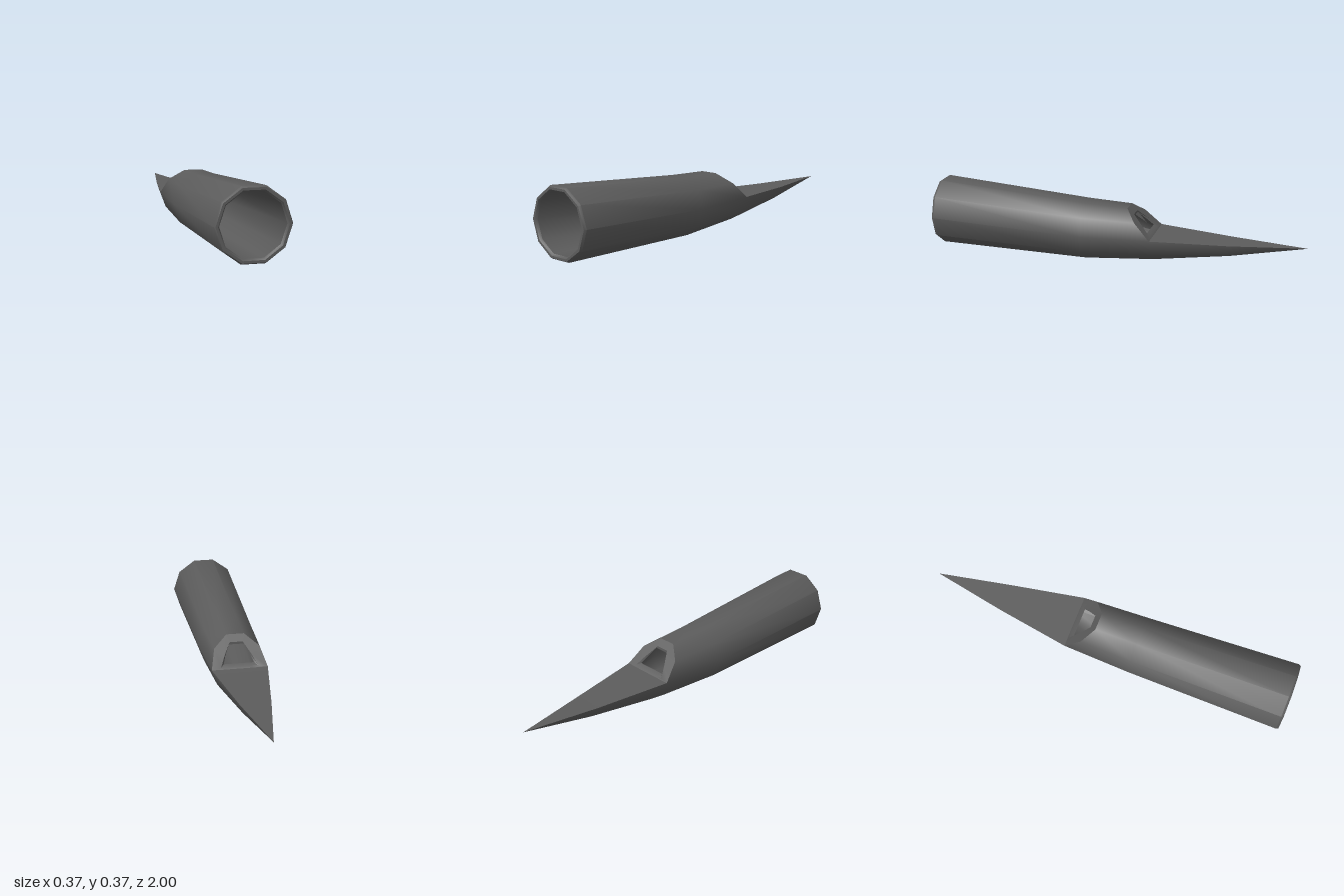
import * as THREE from 'three';
import { toCreasedNormals } from 'three/addons/utils/BufferGeometryUtils.js';

const N = 10;
const steps = Array.from({ length: N }, (_, k) => k);
const angle = (k) => (k / N) * Math.PI * 2;
const half = Math.sin(angle(2)); // half height of a unit ten-sided ring

// Full ten-sided ring of radius r, centred at height cy
const ring = (z, r, cy) => steps.map((k) =>
  new THREE.Vector3(r * Math.cos(angle(k)), cy + r * Math.sin(angle(k)), z));

// Spike section: flat on top, half a ring below
const halfRing = (z, w, top, bottom) => steps.map((k) =>
  new THREE.Vector3(w * Math.cos(angle(k)),
    k <= 5 ? top : top + Math.sin(angle(k)) * (top - bottom) / half, z));

// Three [x, y, z] corners on +x, mirrored into the six upper points of a loop
const arch = (p) => [...p, ...p.slice().reverse().map(([x, y, z]) => [-x, y, z])]
  .map((a) => new THREE.Vector3(...a));

// Height to depth on the slanted face
const slope = (y) => -0.06 - (0.3 - y) * 1.03;

// Loop on the slanted face, closed by a straight lower edge
function gate(points, shift = 0) {
  const upper = arch(points.map(([x, y]) => [x, y, slope(y) + shift]));
  const lower = [1, 2, 3, 4].map((j) => upper[5].clone().lerp(upper[0], j / 5));
  return [...upper, ...lower];
}

// Triangles between successive loops, leaving out empty ones
function loft(loops) {
  const out = [];
  const add = (a, b, c) => {
    const area = b.clone().sub(a).cross(c.clone().sub(a)).length();
    if (area > 1e-8) out.push(a, b, c);
  };
  for (let i = 0; i < loops.length - 1; i++) {
    for (const k of steps) {
      const n = (k + 1) % N;
      add(loops[i][k], loops[i][n], loops[i + 1][n]);
      add(loops[i][k], loops[i + 1][n], loops[i + 1][k]);
    }
  }
  return out;
}

function part(name, points, material) {
  const geometry = toCreasedNormals(new THREE.BufferGeometry().setFromPoints(points), 0.7);
  const mesh = new THREE.Mesh(geometry, material);
  mesh.name = name;
  return mesh;
}

export function createModel() {
  const group = new THREE.Group();
  group.name = 'hollowSpike';
  const grey = new THREE.MeshStandardMaterial({ color: 0x5c5c5c });
  grey.name = 'dark grey';

  // Solid spike with a flat top
  const root = halfRing(-0.2, 0.147, 0.163, 0.03);
  const spike = loft([
    halfRing(-1, 0, 0.15, 0.15),
    halfRing(-0.6, 0.078, 0.152, 0.08),
    root,
  ]);

  // Tube from the slanted cut to the rounded rim
  const outline = gate([[0.147, 0.163], [0.12, 0.247], [0.047, 0.3]]);
  outline[0].copy(root[0]);
  outline[5].copy(root[5]);
  const cut = [...outline.slice(0, 6), ...root.slice(6)];
  const tube = loft([
    cut,
    ring(0.17, 0.161, 0.157),
    ring(0.988, 0.185, 0.197),
    ring(1, 0.178, 0.197),
    ring(1, 0.166, 0.197),
    ring(0.988, 0.158, 0.197),
  ]);
  group.add(part('outerShell', [...spike, ...tube], grey));

  // Hollow inside, closing towards the opening above the spike
  const pocket = [
    ...arch([[0.11, 0.122, -0.25], [0.1, 0.18, -0.13], [0.072, 0.257, -0.08]]),
    ...[[-0.085, 0.11], [-0.03, 0.1], [0.03, 0.1], [0.085, 0.11]]
      .map(([x, y]) => new THREE.Vector3(x, y, -0.25)),
  ];
  const lip = gate([[0.08, 0.18], [0.065, 0.214], [0.043, 0.256]], 0.012);
  group.add(part('innerWall', loft([
    ring(0.988, 0.158, 0.197),
    ring(0.17, 0.135, 0.157),
    ring(-0.04, 0.118, 0.156),
    pocket,
    lip,
  ]), grey));

  // Slanted face with its bevelled opening
  const mouth = gate([[0.098, 0.17], [0.072, 0.215], [0.035, 0.268]]);
  group.add(part('slantedFace', loft([lip, mouth, outline]), grey));

  return group;
}
